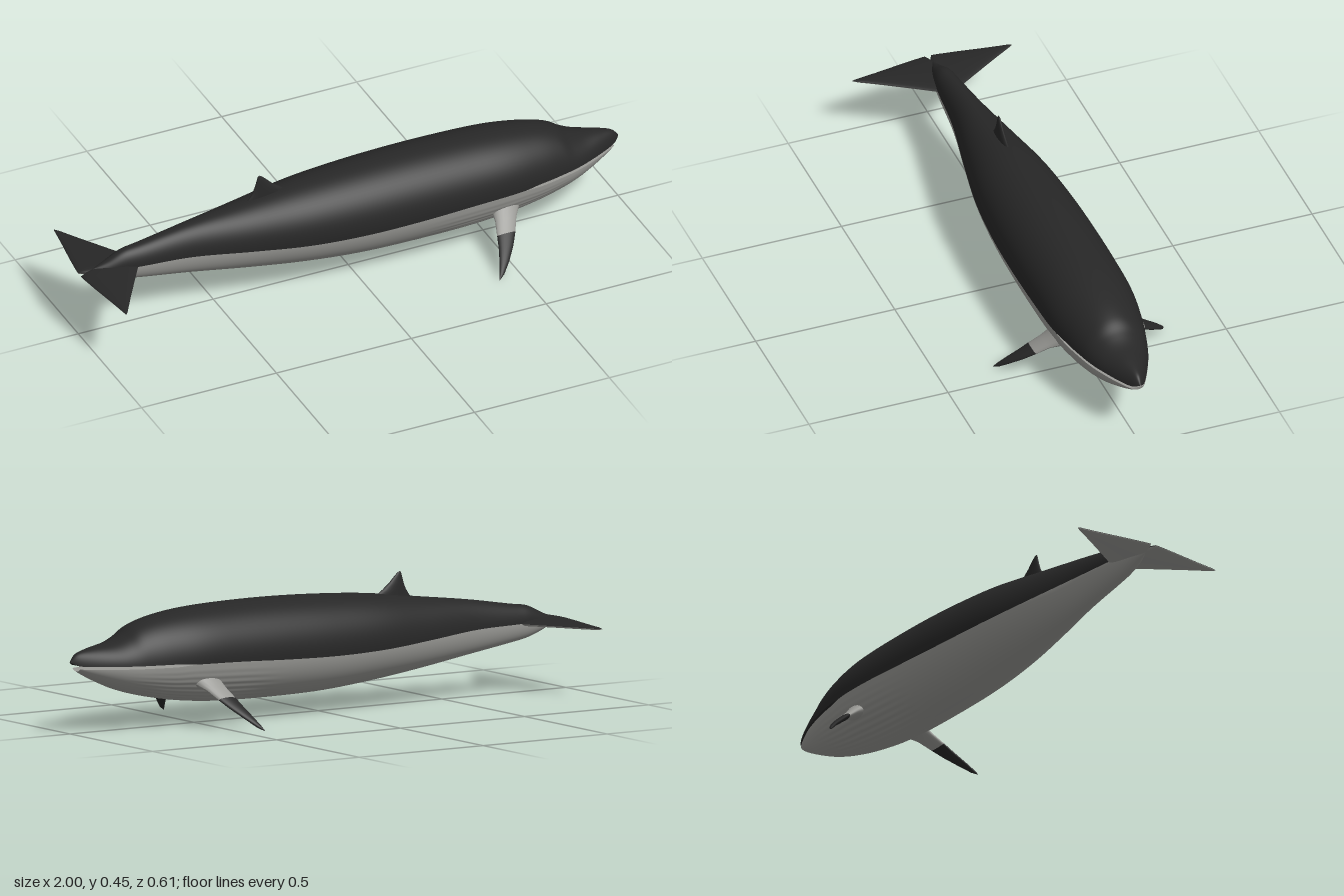
import * as THREE from 'three';

const darkSkin = new THREE.MeshStandardMaterial({ color: 0x272727, side: THREE.DoubleSide });
darkSkin.name = 'dark skin';
const paleSkin = new THREE.MeshStandardMaterial({ color: 0x9a9a96, side: THREE.DoubleSide });
paleSkin.name = 'pale skin';

// Body stations: x, top y, bottom y, half width, y of the colour line
const STATIONS = [
  [-0.95, 0.245, 0.228, 0.004, 0.237],
  [-0.9, 0.265, 0.205, 0.024, 0.237],
  [-0.84, 0.293, 0.184, 0.036, 0.237],
  [-0.77, 0.304, 0.171, 0.044, 0.237],
  [-0.6, 0.332, 0.145, 0.062, 0.235],
  [-0.4, 0.358, 0.115, 0.100, 0.222],
  [-0.2, 0.384, 0.090, 0.135, 0.210],
  [0, 0.398, 0.072, 0.152, 0.206],
  [0.2, 0.404, 0.067, 0.158, 0.210],
  [0.4, 0.402, 0.069, 0.158, 0.218],
  [0.55, 0.394, 0.080, 0.153, 0.221],
  [0.67, 0.377, 0.099, 0.136, 0.221],
  [0.75, 0.354, 0.117, 0.118, 0.221],
  [0.8, 0.323, 0.131, 0.104, 0.221],
  [0.85, 0.302, 0.149, 0.086, 0.222],
  [0.92, 0.288, 0.181, 0.054, 0.223],
  [0.975, 0.272, 0.211, 0.024, 0.226],
  [1, 0.246, 0.233, 0.004, 0.239],
];

// Smooth interpolation of every station column
function stationAt(u) {
  const last = STATIONS.length - 1;
  const i = Math.min(Math.floor(u), last - 1), t = u - i;
  const s = (k) => STATIONS[THREE.MathUtils.clamp(k, 0, last)];
  return STATIONS[0].map((_, c) => {
    const a = s(i - 1)[c], b = s(i)[c], d = s(i + 1)[c], e = s(i + 2)[c];
    return b + 0.5 * t * (d - a + t * (2 * a - 5 * b + 4 * d - e + t * (3 * (b - d) + e - a)));
  });
}

// Surface through a series of point rows
function skin(rows) {
  const n = rows[0].length, index = [];
  for (let i = 0; i < rows.length - 1; i++) {
    for (let j = 0; j < n - 1; j++) {
      const a = i * n + j, b = a + n;
      index.push(a, b, a + 1, b, b + 1, a + 1);
    }
  }
  const geometry = new THREE.BufferGeometry().setFromPoints(rows.flat());
  geometry.setIndex(index);
  geometry.computeVertexNormals();
  return geometry;
}

function add(parent, name, geometry, material) {
  const mesh = new THREE.Mesh(geometry, material);
  mesh.name = name;
  parent.add(mesh);
  return mesh;
}

const smooth = THREE.MathUtils.smoothstep;

// Cross-section arc of the back (upper) or the belly (lower)
function bodyArc(u, upper) {
  const [x, top, bottom, w, split] = stationAt(u);
  const cy = THREE.MathUtils.lerp((top + bottom) / 2, split, smooth(x, 0.45, 0.8));
  const gap = 0.005 * smooth(x, 0.58, 0.66);
  const edge = split + (upper ? gap : -gap);
  const h = edge > cy ? top - cy : cy - bottom;
  const a = Math.asin(THREE.MathUtils.clamp((edge - cy) / h, -0.95, 0.95));
  const from = upper ? a : Math.PI - a, to = upper ? Math.PI - a : 2 * Math.PI + a;
  const n = upper ? 40 : 120, row = [];
  // Throat pleats fade in and out along the lower side
  const pleat = upper ? 0 : 0.0016 * smooth(x, 0.2, 0.4) * (1 - smooth(x, 0.65, 0.85));
  for (let j = 0; j <= n; j++) {
    const t = j / n, q = from + (to - from) * t;
    const k = 1 - pleat / 0.16 * (1 - Math.cos(t * Math.PI * 40)) * Math.sin(t * Math.PI);
    const sy = Math.sin(q);
    row.push(new THREE.Vector3(x, cy + k * sy * (sy > 0 ? top - cy : cy - bottom), k * w * Math.cos(q)));
  }
  return row;
}

function bodyRows(upper, u0, u1) {
  const rows = [], n = Math.round((u1 - u0) * 6);
  for (let i = 0; i <= n; i++) rows.push(bodyArc(u0 + (u1 - u0) * i / n, upper));
  return rows;
}

// Flat fin: stations are [x, y, z, half chord, half thickness], chord along x
function foil(stations, span, from = 0, to = 2 * Math.PI) {
  const normal = new THREE.Vector3(1, 0, 0).cross(span).normalize();
  return skin(stations.map(([x, y, z, c, t]) => {
    const row = [];
    for (let j = 0; j <= 20; j++) {
      const q = from + (to - from) * j / 20;
      row.push(new THREE.Vector3(x + c * Math.cos(q), y, z).addScaledVector(normal, t * Math.sin(q)));
    }
    return row;
  }));
}

export function createModel() {
  const whale = new THREE.Group();
  whale.name = 'whale';
  const end = STATIONS.length - 1;

  // Body halves
  add(whale, 'back', skin(bodyRows(true, 0, end)), darkSkin);
  add(whale, 'belly', skin(bodyRows(false, 0, end - 1)), paleSkin);

  // Inside of the mouth
  const ends = (row) => [row[0], row[row.length - 1]];
  add(whale, 'palate', skin(bodyRows(true, 10, end).map((r) => ends(r).reverse())), darkSkin);
  add(whale, 'mouthFloor', skin(bodyRows(false, 10, end - 1).map((r) => ends(r).reverse())), paleSkin);

  // Dorsal fin
  add(whale, 'dorsalFin', foil([
    [-0.297, 0.335, 0, 0.098, 0.013],
    [-0.298, 0.372, 0, 0.066, 0.011],
    [-0.306, 0.39, 0, 0.047, 0.010],
    [-0.315, 0.41, 0, 0.030, 0.008],
    [-0.322, 0.43, 0, 0.017, 0.006],
    [-0.328, 0.445, 0, 0.007, 0.003],
    [-0.33, 0.449, 0, 0.0005, 0.0005],
  ], new THREE.Vector3(0, 1, 0)), darkSkin);

  // Flippers: pale arm, dark blade
  const flipperSpan = new THREE.Vector3(0, -0.63, 0.77);
  const arm = foil([
    [0.53, 0.162, 0.105, 0.060, 0.034],
    [0.523, 0.148, 0.13, 0.048, 0.022],
    [0.512, 0.132, 0.155, 0.039, 0.014],
    [0.495, 0.102, 0.195, 0.034, 0.010],
  ], flipperSpan);
  const blade = foil([
    [0.495, 0.102, 0.195, 0.034, 0.010],
    [0.478, 0.074, 0.23, 0.027, 0.009],
    [0.454, 0.042, 0.268, 0.018, 0.007],
    [0.432, 0.015, 0.295, 0.009, 0.005],
    [0.418, 0.002, 0.306, 0.001, 0.001],
  ], flipperSpan);

  // Tail flukes: [z, front x, rear x, half thickness]
  const fluke = [
    [0, -0.77, -0.972, 0.014],
    [0.012, -0.775, -0.996, 0.014],
    [0.04, -0.797, -0.993, 0.013],
    [0.1, -0.836, -0.985, 0.011],
    [0.2, -0.9, -0.969, 0.008],
    [0.27, -0.943, -0.959, 0.005],
    [0.286, -0.954, -0.957, 0.001],
  ].map(([z, f, r, t]) => [(f + r) / 2, 0.236, z, (f - r) / 2, t]);
  const out = new THREE.Vector3(0, 0, 1);
  const flukeTop = foil(fluke, out, Math.PI, 2 * Math.PI);
  const flukeUnder = foil(fluke, out, 0, Math.PI);

  for (const side of [1, -1]) {
    const limbs = new THREE.Group();
    limbs.name = side > 0 ? 'nearSideFins' : 'farSideFins';
    add(limbs, 'flipperArm', arm, paleSkin);
    add(limbs, 'flipperBlade', blade, darkSkin);
    add(limbs, 'flukeTop', flukeTop, darkSkin);
    add(limbs, 'flukeUnderside', flukeUnder, paleSkin);
    limbs.scale.z = side;
    whale.add(limbs);
  }
  return whale;
}
